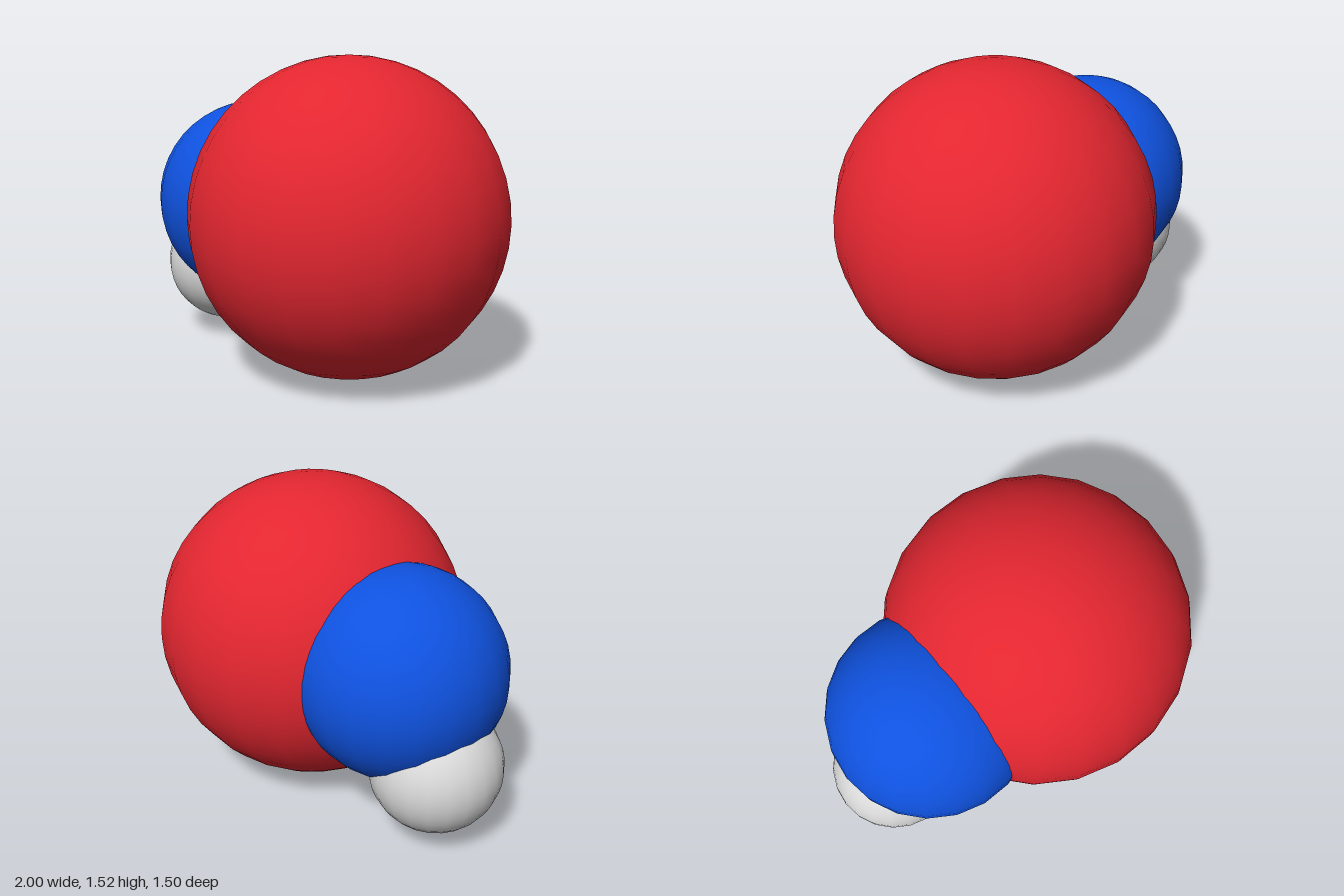
import * as THREE from 'three';

function material(name, color) {
  const m = new THREE.MeshStandardMaterial({ color });
  m.name = name;
  return m;
}

export function createModel() {
  const group = new THREE.Group();
  group.name = 'molecule';

  // Three overlapping balls: name, material, radius, centre x, centre y
  const atoms = [
    ['largeAtom', material('red', 0xe32630), 0.76, 0.24, 0.765],
    ['middleAtom', material('blue', 0x0f52e0), 0.505, -0.425, 0.765],
    ['smallAtom', material('lightGrey', 0xd9d9d9), 0.315, -0.685, 0.39],
  ];

  for (const [name, mat, radius, x, y] of atoms) {
    const mesh = new THREE.Mesh(new THREE.SphereGeometry(radius, 22, 22), mat);
    mesh.name = name;
    mesh.position.set(x, y, 0);
    group.add(mesh);
  }
  return group;
}
